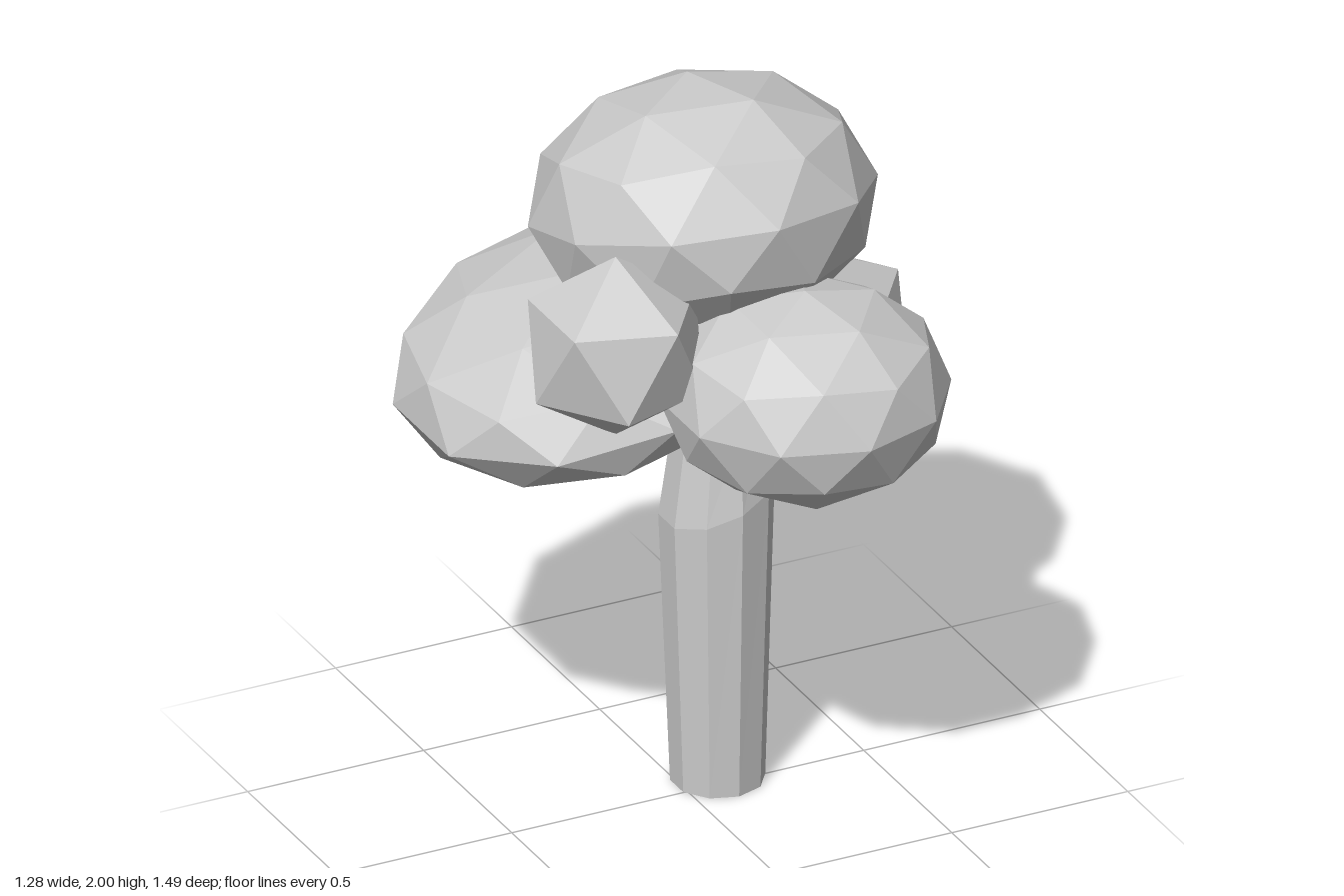
import * as THREE from 'three';

const material = new THREE.MeshStandardMaterial({ color: 0xcccccc, flatShading: true });

// Faceted foliage clump: an icosphere with a corner at its pole, squashed and tilted
function clump(name, detail, [x, y, z], width, height, tiltX = 0, tiltZ = 0) {
  const geometry = new THREE.IcosahedronGeometry(1, detail);
  geometry.rotateZ(-Math.atan(2 / (1 + Math.sqrt(5))));
  const mesh = new THREE.Mesh(geometry, material);
  mesh.name = name;
  mesh.position.set(x, y, z);
  mesh.scale.set(width, height, width);
  mesh.rotation.set(tiltX, 0, tiltZ);
  return mesh;
}

// Ten-sided trunk that swells towards a slanted collar, then narrows into the leaves
function trunk() {
  const rings = [
    { y: 0, r: 0.1225, x: 0.105, slant: 0 },
    { y: 0.82, r: 0.15, x: 0.102, slant: 0.055 },
    { y: 1.05, r: 0.12, x: 0.113, slant: 0 },
    { y: 1.3, r: 0.09, x: 0.113, slant: 0 },
  ];
  const sides = 10;
  const positions = [];
  const index = [];
  for (const { y, r, x, slant } of rings) {
    for (let i = 0; i < sides; i++) {
      const a = (i / sides) * Math.PI * 2;
      positions.push(x + r * Math.sin(a), y + slant * Math.sin(a), -0.04 + r * Math.cos(a));
    }
  }
  for (let k = 0; k < rings.length - 1; k++) {
    for (let i = 0; i < sides; i++) {
      const a = k * sides + i;
      const b = k * sides + ((i + 1) % sides);
      index.push(a, b, b + sides, a, b + sides, a + sides);
    }
  }
  // End caps
  const last = (rings.length - 1) * sides;
  for (let i = 1; i < sides - 1; i++) {
    index.push(0, i + 1, i, last, last + i, last + i + 1);
  }
  const geometry = new THREE.BufferGeometry();
  geometry.setAttribute('position', new THREE.Float32BufferAttribute(positions, 3));
  geometry.setIndex(index);
  const flat = geometry.toNonIndexed();
  flat.computeVertexNormals();
  const mesh = new THREE.Mesh(flat, material);
  mesh.name = 'trunk';
  return mesh;
}

export function createModel() {
  const tree = new THREE.Group();
  tree.name = 'tree';
  const tilt = THREE.MathUtils.degToRad(15.3);
  tree.add(
    trunk(),
    // Large clumps
    clump('topFoliage', 1, [0.068, 1.66, -0.05], 0.452, 0.34, -tilt),
    clump('frontFoliage', 1, [0.148, 1.296, 0.37], 0.376, 0.283),
    clump('backFoliage', 1, [-0.17, 1.21, -0.232], 0.515, 0.23, 0, tilt),
    // Small coarse clumps
    clump('leftFoliage', 0, [0.345, 1.2, -0.085], 0.33, 0.247),
    clump('rightFoliage', 0, [-0.31, 1.455, 0.21], 0.253, 0.255),
  );
  return tree;
}
